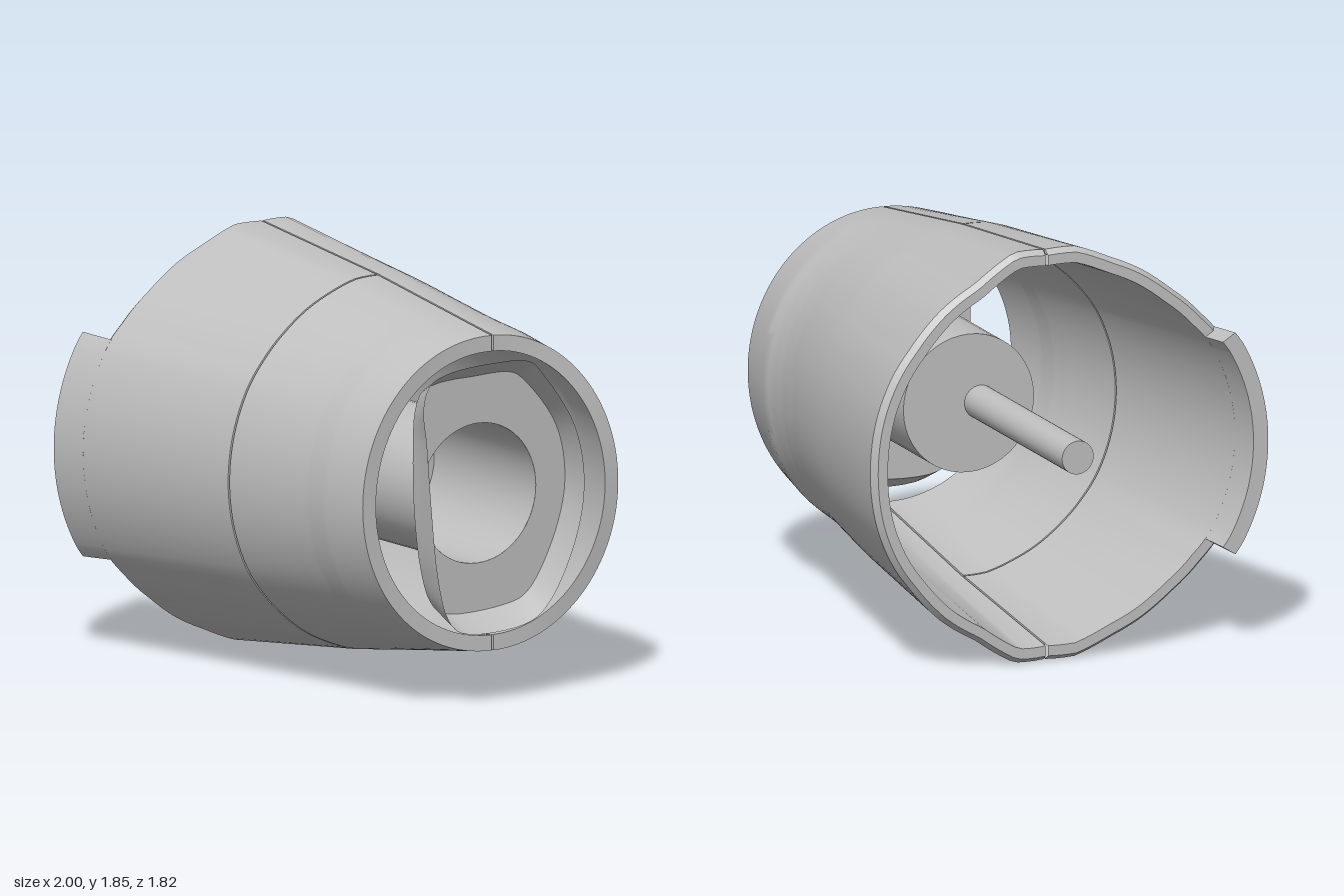
import * as THREE from 'three';
import { ParametricGeometry } from 'three/addons/geometries/ParametricGeometry.js';

const MID_Y = 0.92, SEAM_Z = -0.085, WALL = 0.07, GAP = 0.005;

// Piecewise-linear lookup
function lerpTable(t, x) {
  if (x <= t[0][0]) return t[0][1];
  for (let i = 1; i < t.length; i++) {
    const [x0, y0] = t[i - 1], [x1, y1] = t[i];
    if (x <= x1) return y0 + (y1 - y0) * (x - x0) / (x1 - x0);
  }
  return t[t.length - 1][1];
}

// Half height and front/back reach along the axis
const HEIGHT = [[-1, 0.938], [-0.83, 0.92], [0.04, 0.825], [0.88, 0.70], [1, 0.685]];
const REACH = {
  front: [[-1, 0.905], [0.04, 0.712], [0.4, 0.64], [0.5, 0.622], [0.62, 0.612], [0.845, 0.572], [1, 0.55]],
  back: [[-0.83, 0.91], [0.04, 0.785], [0.44, 0.722], [0.55, 0.711], [0.65, 0.712], [0.74, 0.724], [0.85, 0.706], [1, 0.68]],
};
// How far the wide end departs from an ellipse
const SHAPE = {
  front: [[0, 1], [0.15, 1.012], [0.32, 0.98], [0.48, 0.97], [0.63, 0.95], [0.78, 0.955], [0.88, 1], [1, 1]],
  back: [[0, 1], [0.17, 1.015], [0.4, 0.945], [0.6, 0.94], [0.78, 0.92], [0.93, 0.95], [1, 1]],
};

// Point on a shell half: phi runs from the bottom seam to the top seam
function shellPoint(side, x, phi, inset, target) {
  const dir = side === 'front' ? 1 : -1;
  const c = Math.cos(phi);
  const reach = lerpTable(REACH[side], x) - dir * SEAM_Z - inset;
  const blend = THREE.MathUtils.clamp((0.7 - x) / 1.53, 0, 1);
  const k = 1 + (lerpTable(SHAPE[side], c) - 1) * blend;
  const y = MID_Y + (lerpTable(HEIGHT, x) - inset) * Math.sin(phi) * k;
  return target.set(x, y, SEAM_Z + dir * (GAP + (reach - GAP) * c));
}

// Slanted, slightly curved narrow end
function endX(side, phi) {
  const z = SEAM_Z + (side === 'front' ? 0.655 : -0.595) * Math.cos(phi);
  const d = 0.57 - z;
  return 0.845 + 0.02 * d + 0.083 * d * d;
}

export function createModel() {
  const grey = new THREE.MeshStandardMaterial({ color: 0xbfbfbf, side: THREE.DoubleSide });
  grey.name = 'plain grey';
  const model = new THREE.Group();
  model.name = 'shroudAssembly';

  const add = (parent, geometry, name) => {
    const m = new THREE.Mesh(geometry, grey);
    m.name = name;
    parent.add(m);
    return m;
  };

  // Thick shell panel between two ends and two angles
  function shell(name, side, start, end, phi0, phi1, chamfer) {
    const g = new THREE.Group();
    g.name = name;
    model.add(g);
    const ang = (u) => phi0 + (phi1 - phi0) * u;
    const stop = (phi) => (end === null ? endX(side, phi) : end);
    const skin = chamfer ? start + 0.03 : start;
    const patch = (part, nu, nv, fn) => add(g, new ParametricGeometry(fn, nu, nv), part);
    const flip = side === 'front' ? (u) => 1 - u : (u) => u;

    patch('outerSkin', 64, 36, (u, v, t) => {
      const p = ang(flip(u));
      shellPoint(side, skin + (stop(p) - skin) * v, p, 0, t);
    });
    patch('innerSkin', 64, 36, (u, v, t) => {
      const p = ang(flip(1 - u));
      shellPoint(side, start + (stop(p) - start) * v, p, WALL, t);
    });
    if (chamfer) patch('chamfer', 64, 1, (u, v, t) => {
      shellPoint(side, start + 0.03 * v, ang(flip(u)), 0.024 * (1 - v), t);
    });
    patch('wideRim', 64, 1, (u, v, t) => {
      shellPoint(side, start, ang(flip(u)), WALL + ((chamfer ? 0.024 : 0) - WALL) * v, t);
    });
    patch('narrowRim', 64, 1, (u, v, t) => {
      const p = ang(flip(u));
      shellPoint(side, stop(p), p, WALL * v, t);
    });
    for (const p of [phi0, phi1]) {
      patch('edgeFace', 24, 1, (u, v, t) => {
        shellPoint(side, skin + (stop(p) - skin) * u, p, WALL * v, t);
      });
    }
  }

  const Q = Math.PI / 2;
  shell('backShell', 'back', -0.86, null, -Q, Q, true);
  shell('frontWideShell', 'front', -0.86, 0.035, -Q, Q, true);
  shell('frontNarrowShell', 'front', 0.044, null, -Q, Q, false);
  shell('frontTab', 'front', -1, -0.825, -0.57, 0.57, false);

  // Flared cup: matching rim and floor outlines as z, y pairs
  const outline = (pts, x) => new THREE.CatmullRomCurve3(
    pts.map(([z, y]) => new THREE.Vector3(x, y, z)), true, 'centripetal');
  const rim = outline([
    [0.23, 1.50], [0.32, 1.46], [0.356, 1.36], [0.34, 1.2], [0.315, 0.9], [0.28, 0.6], [0.23, 0.42], [0.16, 0.345],
    [-0.19, 0.345], [-0.30, 0.41], [-0.44, 0.65], [-0.50, 0.92], [-0.45, 1.19], [-0.28, 1.44], [-0.21, 1.505], [0, 1.52],
  ], 1);
  const floor = outline([
    [0.19, 1.43], [0.27, 1.40], [0.305, 1.32], [0.315, 1.18], [0.31, 0.9], [0.275, 0.62], [0.225, 0.47], [0.16, 0.41],
    [-0.17, 0.41], [-0.29, 0.45], [-0.43, 0.67], [-0.495, 0.92], [-0.45, 1.17], [-0.28, 1.39], [-0.21, 1.435], [0, 1.44],
  ], 0.86);
  const cup = new THREE.Group();
  cup.name = 'flaredCup';
  model.add(cup);
  const a = new THREE.Vector3(), b = new THREE.Vector3();
  add(cup, new ParametricGeometry((u, v, t) => {
    floor.getPoint(u % 1, a);
    rim.getPoint(u % 1, b);
    t.lerpVectors(a, b, v);
  }, 96, 4), 'cupWall');

  // Cup floor with a round opening
  const BORE = 0.31, BORE_Z = -0.03, BORE_END = 0.1;
  const plate = new THREE.Shape(floor.getPoints(96).slice(0, -1).map((p) => new THREE.Vector2(-p.z, p.y)));
  plate.holes.push(new THREE.Path().absarc(-BORE_Z, MID_Y, BORE, 0, Math.PI * 2, true));
  const plateMesh = add(cup, new THREE.ShapeGeometry(plate, 32), 'cupFloor');
  plateMesh.rotation.y = Math.PI / 2;
  plateMesh.position.x = 0.86;

  // Deep bore behind the floor
  const bore = add(cup, new THREE.CylinderGeometry(BORE, BORE, 0.86 - BORE_END, 48, 1, true), 'bore');
  bore.rotation.z = Math.PI / 2;
  bore.position.set((0.86 + BORE_END) / 2, MID_Y, BORE_Z);
  const boreEnd = add(cup, new THREE.CircleGeometry(BORE, 48), 'boreEnd');
  boreEnd.rotation.y = Math.PI / 2;
  boreEnd.position.set(BORE_END, MID_Y, BORE_Z);

  // Central rod reaching out of the wide end
  const rod = add(model, new THREE.CylinderGeometry(0.075, 0.075, 0.945 + BORE_END, 32), 'rod');
  rod.rotation.z = Math.PI / 2;
  rod.position.set((BORE_END - 0.945) / 2, MID_Y, 0.025);

  return model;
}
